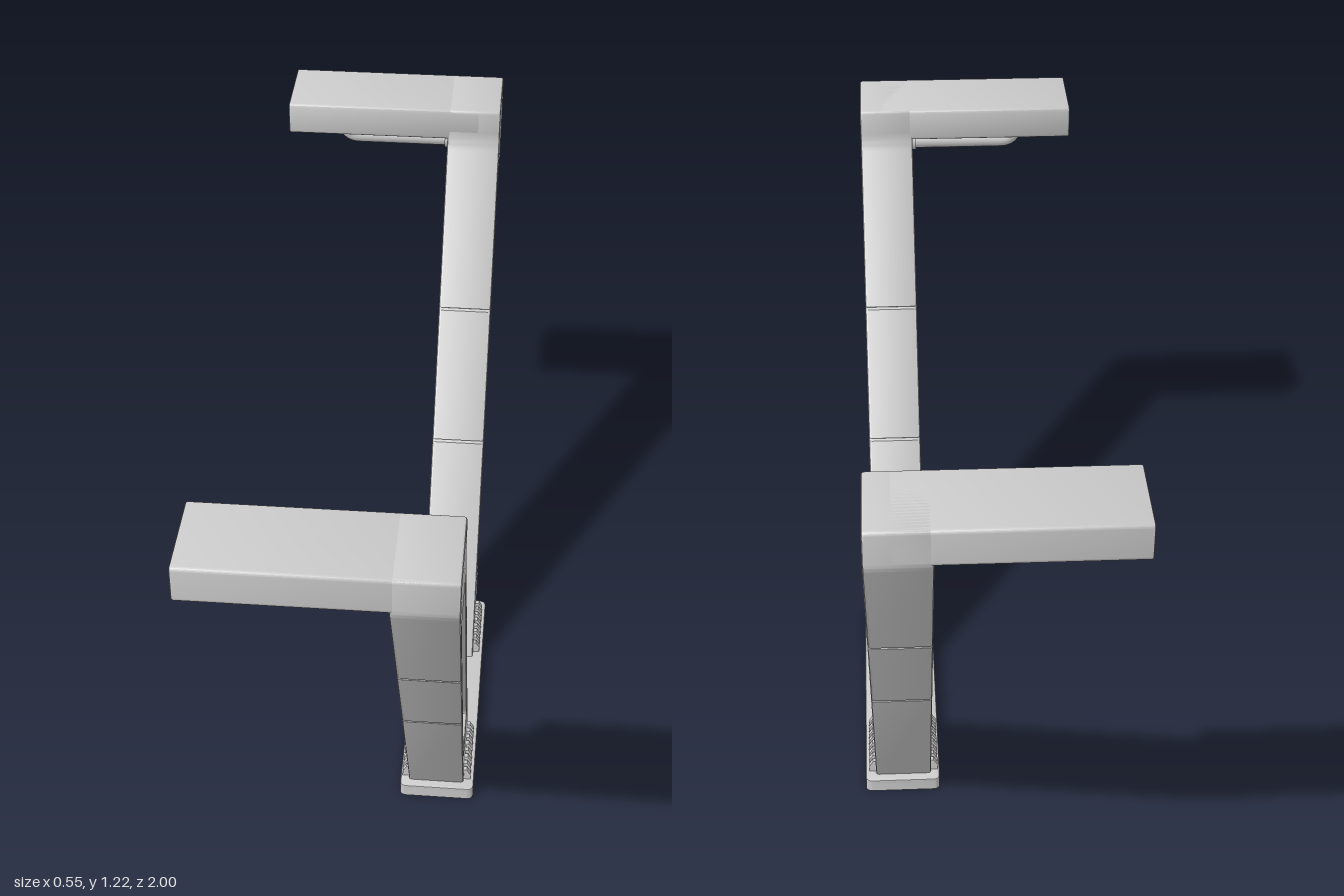
import * as THREE from 'three';
import { toCreasedNormals } from 'three/addons/utils/BufferGeometryUtils.js';

const material = new THREE.MeshStandardMaterial({ color: 0xcccccc });
const LEG_X = 0.185, LEG_W = 0.13, BEVEL = 0.006;

function addMesh(parent, name, geometry) {
  const mesh = new THREE.Mesh(geometry, material);
  mesh.name = name;
  parent.add(mesh);
  return mesh;
}

// Closed outline through [a, b, cornerRadius] points, rounding where a radius is given
function outline(points, Type = THREE.Shape) {
  const path = new Type();
  const n = points.length;
  points.forEach(([x, y, r = 0], i) => {
    const p = new THREE.Vector2(x, y);
    const toward = (q) => new THREE.Vector2(q[0], q[1]).sub(p).setLength(r).add(p);
    const a = toward(points[(i + n - 1) % n]);
    const b = toward(points[(i + 1) % n]);
    if (i === 0) path.moveTo(a.x, a.y); else path.lineTo(a.x, a.y);
    if (r > 0) path.quadraticCurveTo(x, y, b.x, b.y);
  });
  path.closePath();
  return path;
}

// Extrude a (z, y) outline along x, centred on x = cx
function extrudeX(shape, width, cx, bevel = 0) {
  const geo = new THREE.ExtrudeGeometry(shape, {
    depth: width - 2 * bevel, bevelEnabled: bevel > 0, bevelThickness: bevel,
    bevelSize: bevel, bevelOffset: -bevel, bevelSegments: 2, curveSegments: 6,
  });
  geo.translate(0, 0, bevel - width / 2).rotateY(-Math.PI / 2).translate(cx, 0, 0);
  return toCreasedNormals(geo, 0.6);
}

// Extrude an (x, z) outline upward from y0 to y1
function extrudeY(shape, y0, y1, bevel = 0) {
  const geo = new THREE.ExtrudeGeometry(shape, {
    depth: y1 - y0 - 2 * bevel, bevelEnabled: bevel > 0, bevelThickness: bevel,
    bevelSize: bevel, bevelOffset: -bevel, bevelSegments: 2, curveSegments: 6,
  });
  geo.translate(0, 0, y0 + bevel).rotateX(-Math.PI / 2);
  return toCreasedNormals(geo, 0.6);
}

const rect = (x0, y0, x1, y1, r) => [[x0, y0, r], [x1, y0, r], [x1, y1, r], [x0, y1, r]];

function createArm(s) {
  const arm = new THREE.Group();
  arm.name = s > 0 ? 'frontArm' : 'backArm';
  const flip = (pts) => pts.map(([z, y, r]) => [s * z, y, r]);

  // Leaning post, with seam notches on both its sloping faces
  const outerZ = (y) => 0.322 + (y - 0.03) * 0.612;
  const innerZ = (y) => 0.122 + (y - 0.03) * 0.612;
  const seams = [0.5, 0.783];
  const notch = (f, y, inward) => [
    [f(y - 0.003), y - 0.003], [f(y) + inward, y], [f(y + 0.003), y + 0.003],
  ];
  const profile = [
    [innerZ(0.02), 0.02], [outerZ(0.02), 0.02],
    ...seams.flatMap((y) => notch(outerZ, y, -0.006)),
    [1, 1.138, 0.012], [1, 1.22, 0.008], [0.8, 1.22, 0.008], [0.8, 1.138, 0.025],
    ...seams.slice().reverse().flatMap((y) => notch(innerZ, y, 0.006).reverse()),
  ];
  const opening = [
    [0.237, 0.178, 0.015], [0.385, 0.178, 0.04], [0.925, 1.062, 0.015], [0.773, 1.062, 0.05],
  ];
  const post = outline(flip(profile));
  post.holes.push(outline(flip(opening), THREE.Path));
  addMesh(arm, 'post', extrudeX(post, LEG_W, LEG_X, BEVEL));

  // Recessed panel filling both sides of the post
  const panel = opening.map(([z, y, r]) => [
    0.581 + (z - 0.581) * 1.02, 0.62 + (y - 0.62) * 1.015, r,
  ]);
  addMesh(arm, 'sidePanels', extrudeX(outline(flip(panel)), LEG_W - 0.022, LEG_X));

  // Head reaching out sideways from the top of the post
  const head = outline(flip(rect(0.8, 1.142, 1, 1.22, 0.008)));
  addMesh(arm, 'head', extrudeX(head, 0.475, -0.0375, 0.004));

  // Bent tube under the head, with a collar at each end
  const z = s * 0.88, y = 1.104;
  const path = new THREE.CurvePath();
  const v = (a, b) => new THREE.Vector3(a, b, z);
  path.add(new THREE.LineCurve3(v(-0.14, 1.15), v(-0.14, 1.137)));
  path.add(new THREE.QuadraticBezierCurve3(v(-0.14, 1.137), v(-0.14, y), v(-0.105, y)));
  path.add(new THREE.LineCurve3(v(-0.105, y), v(0.14, y)));
  addMesh(arm, 'tube', new THREE.TubeGeometry(path, 48, 0.018, 16));
  addMesh(arm, 'headCollar', new THREE.CylinderGeometry(0.023, 0.021, 0.01, 20))
    .position.set(-0.14, 1.138, z);
  const collar = addMesh(arm, 'postCollar', new THREE.CylinderGeometry(0.023, 0.023, 0.012, 20));
  collar.rotation.z = Math.PI / 2;
  collar.position.set(0.117, y, z);
  return arm;
}

// Ribbed brackets at the foot of a post, one on either side
function createBrackets(s) {
  const group = new THREE.Group();
  group.name = s > 0 ? 'frontBrackets' : 'backBrackets';
  for (const side of [1, -1]) {
    const wedge = (name, reach, height, length, z) => {
      const x0 = LEG_X + side * (LEG_W / 2 - 0.012);
      const x1 = LEG_X + side * (LEG_W / 2 + reach);
      const shape = outline([
        [x0, 0.026], [x1, 0.026], [x1, 0.03 + height * 0.5],
        [x1 - side * 0.009, 0.03 + height], [x0, 0.03 + height],
      ]);
      const geo = new THREE.ExtrudeGeometry(shape, { depth: length, bevelEnabled: false });
      addMesh(group, name, geo.translate(0, 0, z - length / 2));
    };
    wedge('bracketCore', 0.011, 0.022, 0.165, s * 0.227);
    for (let i = 0; i < 8; i++) wedge('bracketRib', 0.016, 0.03, 0.012, s * (0.15 + i * 0.022));
  }
  return group;
}

export function createModel() {
  const model = new THREE.Group();
  model.name = 'twinArmStand';

  // Base tray, open underneath
  const rim = outline(rect(0.1, -0.345, 0.274, 0.345, 0.016));
  rim.holes.push(outline(rect(0.115, -0.33, 0.259, 0.33, 0.01), THREE.Path));
  addMesh(model, 'baseRim', extrudeY(rim, 0, 0.024));
  const plate = outline(rect(0.1, -0.345, 0.274, 0.345, 0.016));
  addMesh(model, 'basePlate', extrudeY(plate, 0.02, 0.031, 0.003));

  for (const s of [1, -1]) model.add(createArm(s), createBrackets(s));
  return model;
}
